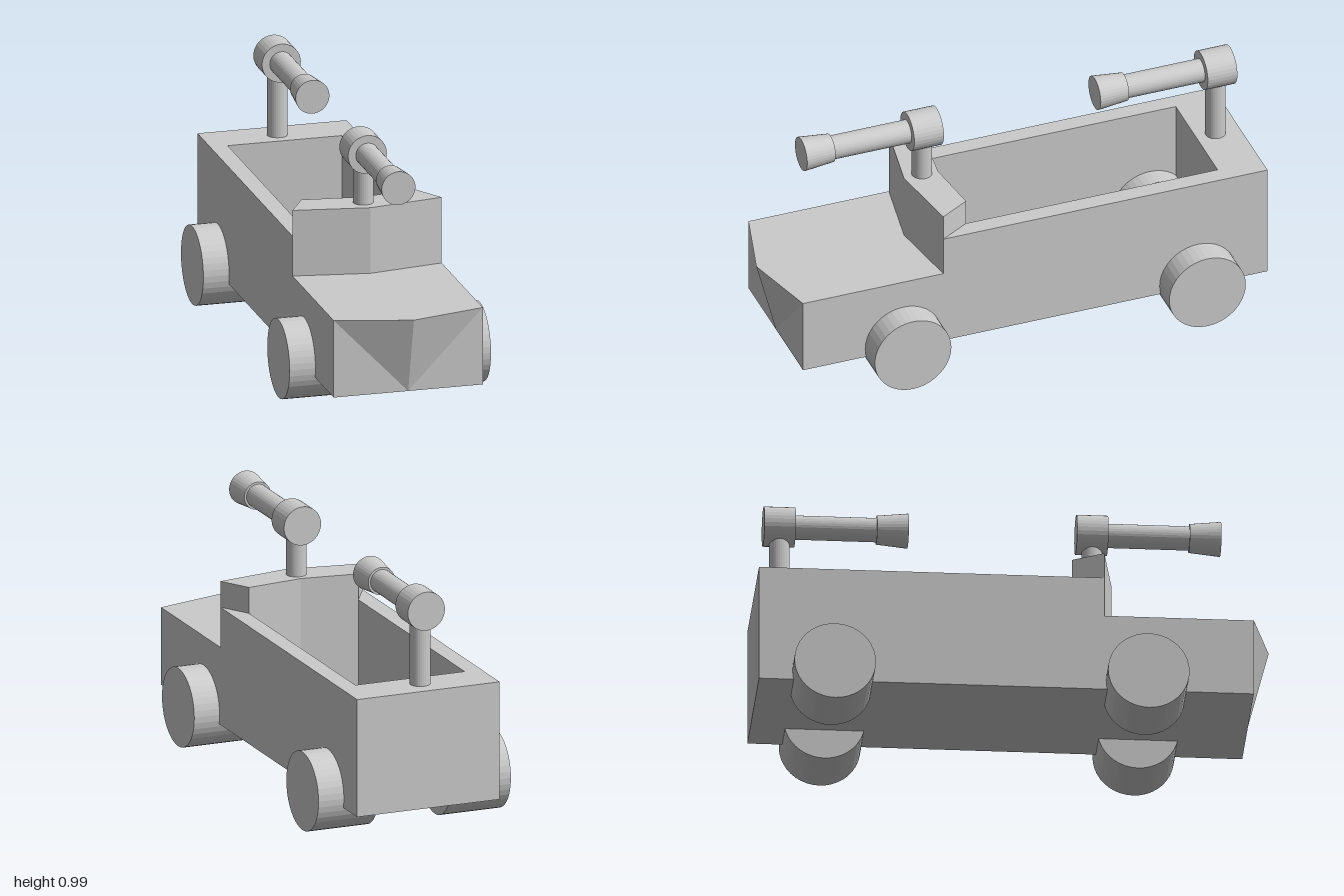
import * as THREE from 'three';
import { ConvexGeometry } from 'three/addons/geometries/ConvexGeometry.js';

const material = new THREE.MeshStandardMaterial({ color: 0xcccccc, flatShading: true });

function addMesh(parent, name, geometry, x = 0, y = 0, z = 0) {
  const mesh = new THREE.Mesh(geometry, material);
  mesh.name = name;
  mesh.position.set(x, y, z);
  parent.add(mesh);
  return mesh;
}

// Vertical prism from a plan outline of [x, z] points, with an optional hole
function prism(plan, bottom, top, hole) {
  const toVectors = (points) => points.map(([x, z]) => new THREE.Vector2(x, z));
  const shape = new THREE.Shape(toVectors(plan));
  if (hole) shape.holes.push(new THREE.Path(toVectors(hole)));
  const geometry = new THREE.ExtrudeGeometry(shape, { depth: top - bottom, bevelEnabled: false });
  return geometry.rotateX(Math.PI / 2).translate(0, top, 0);
}

// Cylinder along z, from the back end to the front end
function barrelSection(frontRadius, backRadius, back, front) {
  return new THREE.CylinderGeometry(frontRadius, backRadius, front - back, 32)
    .rotateX(Math.PI / 2)
    .translate(0, 0, (front + back) / 2);
}

// Post-mounted gun; the origin is the post axis at barrel height
function createGun(name, z, axisY, baseY) {
  const gun = new THREE.Group();
  gun.name = name;
  gun.position.set(-0.008, axisY, z);
  const postHeight = axisY - baseY;
  addMesh(gun, 'post', new THREE.CylinderGeometry(0.04, 0.04, postHeight, 32), 0, -postHeight / 2, 0);
  addMesh(gun, 'hub', barrelSection(0.078, 0.078, -0.062, 0.06));
  addMesh(gun, 'barrel', barrelSection(0.047, 0.047, 0.06, 0.38));
  addMesh(gun, 'muzzle', barrelSection(0.068, 0.056, 0.377, 0.499));
  return gun;
}

export function createModel() {
  const model = new THREE.Group();
  model.name = 'gunTruck';

  // Open rear tub with a floor
  const tubPlan = [[-0.3, -1], [0.3, -1], [0.3, 0.34], [0, 0.39], [-0.3, 0.34]];
  const cavity = [[-0.23, -0.82], [-0.23, 0.22], [0, 0.25], [0.23, 0.22], [0.23, -0.82]];
  addMesh(model, 'tubWalls', prism(tubPlan, 0.14, 0.595, cavity));
  addMesh(model, 'tubFloor', prism(tubPlan, 0.12, 0.14));

  // Raised shield between the tub and the hood
  const shieldPlan = [[-0.23, 0.22], [0, 0.25], [0.23, 0.22], [0.3, 0.34], [0, 0.39], [-0.3, 0.34]];
  addMesh(model, 'shield', prism(shieldPlan, 0.595, 0.7));

  // Hood and its pointed nose
  const hoodPlan = [[-0.3, 0.34], [0, 0.39], [0.3, 0.34], [0.3, 0.92], [-0.3, 0.92]];
  addMesh(model, 'hood', prism(hoodPlan, 0.12, 0.433));
  const nosePoints = [[-0.3, 0.433, 0.92], [0.3, 0.433, 0.92], [0, 0.433, 1], [0, 0.12, 0.92]];
  addMesh(model, 'nose', new ConvexGeometry(nosePoints.map((p) => new THREE.Vector3(...p))));

  // Wheels reach inside the body
  for (const [end, z] of [['front', 0.505], ['rear', -0.712]]) {
    for (const [side, x] of [['Left', 0.28], ['Right', -0.277]]) {
      const wheel = new THREE.CylinderGeometry(0.158, 0.158, 0.253, 40).rotateZ(Math.PI / 2);
      addMesh(model, `${end}${side}Wheel`, wheel, x, 0.158, z);
    }
  }

  // Guns on the shield and on the rear rim
  model.add(createGun('frontGun', 0.313, 0.911, 0.7));
  model.add(createGun('rearGun', -0.9, 0.904, 0.595));
  return model;
}
